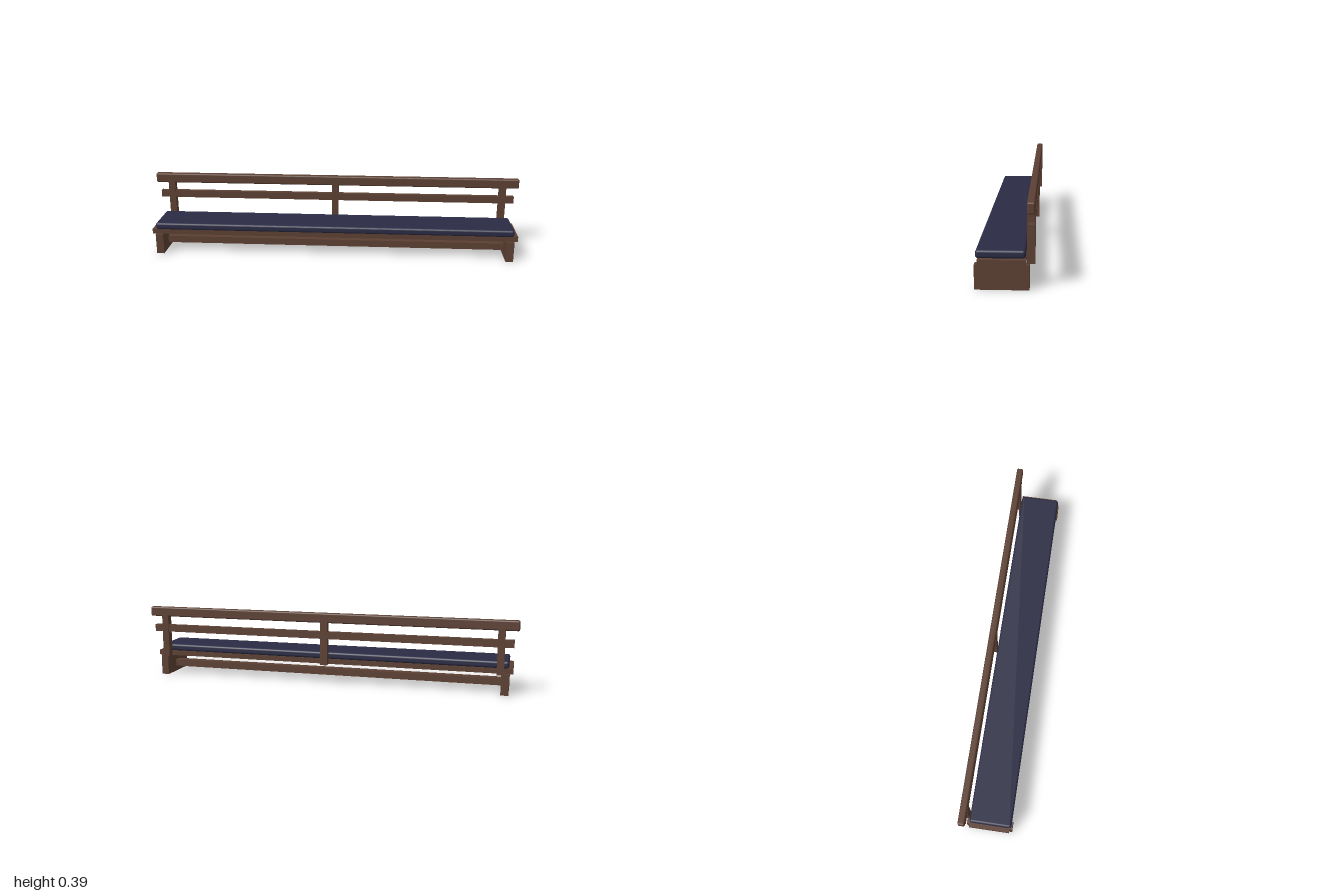
import * as THREE from 'three';
import { RoundedBoxGeometry } from 'three/addons/geometries/RoundedBoxGeometry.js';

export function createModel() {
  const bench = new THREE.Group();
  bench.name = 'bench';

  const wood = new THREE.MeshStandardMaterial({ color: 0x5c4033 });
  wood.name = 'brown wood';
  const fabric = new THREE.MeshStandardMaterial({ color: 0x2b2b45 });
  fabric.name = 'navy fabric';

  // Block given by its x, y and z ranges; a radius rounds its edges
  function block(name, material, [x0, x1], [y0, y1], [z0, z1], radius = 0) {
    const size = [x1 - x0, y1 - y0, z1 - z0];
    const geometry = radius
      ? new RoundedBoxGeometry(...size, 4, radius)
      : new THREE.BoxGeometry(...size);
    const mesh = new THREE.Mesh(geometry, material);
    mesh.name = name;
    mesh.position.set((x0 + x1) / 2, (y0 + y1) / 2, (z0 + z1) / 2);
    bench.add(mesh);
  }

  // Base: two slab legs joined by a stretcher
  for (const [side, x] of [['left', 0.938], ['right', -0.938]]) {
    block(side + 'Leg', wood, [x - 0.02, x + 0.02], [0, 0.109], [-0.105, 0.13]);
  }
  block('stretcher', wood, [-0.92, 0.92], [0.029, 0.066], [-0.01, 0.035]);

  // Seat board and cushion
  block('seat', wood, [-0.977, 0.977], [0.109, 0.136], [-0.09, 0.116]);
  block('cushion', fabric, [-0.956, 0.956], [0.135, 0.172], [-0.089, 0.125], 0.012);

  // Backrest: three posts, a middle rail and a rounded top rail
  for (const [place, x] of [['left', 0.914], ['middle', 0], ['right', -0.914]]) {
    block(place + 'BackPost', wood, [x - 0.018, x + 0.018], [0.109, 0.345], [-0.129, -0.093]);
  }
  block('middleRail', wood, [-0.977, 0.977], [0.25, 0.288], [-0.125, -0.098]);
  block('topRail', wood, [-1, 1], [0.335, 0.387], [-0.128, -0.094], 0.008);

  return bench;
}
